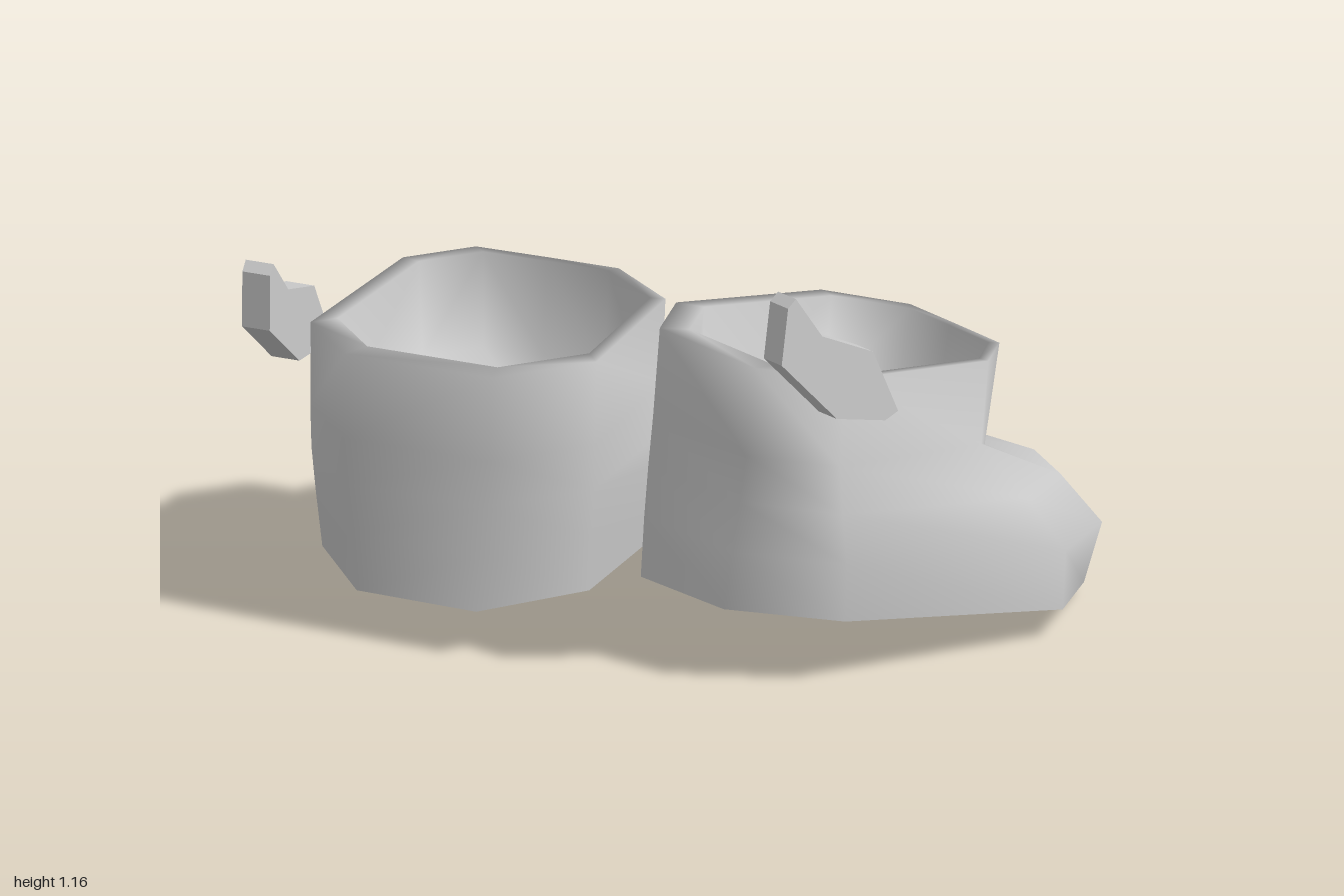
import * as THREE from 'three';

const material = new THREE.MeshStandardMaterial({ color: 0xcccccc });

// Cross-sections of one boot as [outward, toeward] points, counter-clockwise
// from the outer toe corner, with a height for each point.
const sections = [
  { // sole
    h: [0, 0, 0, 0, 0, 0, 0, 0, 0],
    p: [[0.27, 0.745], [0.047, 0.81], [-0.22, 0.775], [-0.367, 0.51], [-0.347, -0.17],
      [-0.13, -0.425], [0.22, -0.41], [0.425, -0.16], [0.492, 0.51]],
  },
  { // widest part of the toe
    h: [0.16, 0.16, 0.16, 0.16, 0.16, 0.16, 0.16, 0.16, 0.16],
    p: [[0.265, 0.79], [0.035, 0.85], [-0.225, 0.8], [-0.385, 0.515], [-0.357, -0.18],
      [-0.14, -0.425], [0.235, -0.413], [0.435, -0.18], [0.487, 0.505]],
  },
  { // top of the toe
    h: [0.29, 0.3, 0.3, 0.3, 0.3, 0.3, 0.3, 0.3, 0.3],
    p: [[0.22, 0.67], [0.02, 0.73], [-0.18, 0.68], [-0.38, 0.42], [-0.37, -0.19],
      [-0.15, -0.42], [0.248, -0.413], [0.435, -0.21], [0.435, 0.4]],
  },
  { // ankle
    h: [0.385, 0.365, 0.385, 0.43, 0.43, 0.43, 0.43, 0.43, 0.44],
    p: [[0.205, 0.42], [0.02, 0.455], [-0.16, 0.425], [-0.365, 0.28], [-0.375, -0.2],
      [-0.16, -0.412], [0.255, -0.412], [0.43, -0.23], [0.37, 0.28]],
  },
  { // rim
    h: [0.67, 0.67, 0.67, 0.67, 0.67, 0.67, 0.67, 0.67, 0.67],
    p: [[0.229, 0.418], [0.025, 0.423], [-0.179, 0.425], [-0.376, 0.277], [-0.38, -0.2],
      [-0.17, -0.41], [0.257, -0.41], [0.425, -0.24], [0.377, 0.272]],
  },
];

// Outline of the side tab as [toeward, height]
const tabOutline = [[-0.513, 0.905], [-0.49, 0.93], [-0.39, 0.82], [-0.215, 0.765],
  [-0.113, 0.595], [-0.153, 0.572], [-0.315, 0.588], [-0.516, 0.749]];

// side is +1 for the left boot and -1 for its mirror image
function bootGeometry(side) {
  const rings = sections.map(({ h, p }) => p.map(([u, v], i) => [u * side, h[i], -v]));
  const soleRing = rings[0];

  // inner lip and the bowl-shaped hollow inside follow the rim
  const rim = rings[rings.length - 1];
  const inset = (s, h) => rim.map(([x, , z]) => [x * s, h, z * s - 0.035]);
  rings.push(inset(0.88, 0.665), inset(0.84, 0.4), inset(0.5, 0.3));

  const n = rim.length;
  const points = rings.flat();
  const index = [];
  const tri = (a, b, c) => (side > 0 ? index.push(a, b, c) : index.push(a, c, b));

  // walls; the diagonals on the outer half run the other way, so the toe stays even
  for (let r = 0; r < rings.length - 1; r++) {
    for (let j = 0; j < n; j++) {
      const k = (j + 1) % n;
      const a = r * n + j, b = r * n + k;
      const c = b + n, d = a + n;
      if (j > 4) {
        tri(a, b, d);
        tri(b, c, d);
      } else {
        tri(a, b, c);
        tri(a, c, d);
      }
    }
  }

  // floor inside, and a sole with its own corners for a sharp edge
  const last = (rings.length - 1) * n;
  const floor = points.push([0, 0.28, -0.035]) - 1;
  const sole = points.push([0.03 * side, 0, -0.15]) - 1;
  const edge = points.length;
  points.push(...soleRing);
  for (let j = 0; j < n; j++) {
    const k = (j + 1) % n;
    tri(last + j, last + k, floor);
    tri(edge + k, edge + j, sole);
  }

  const geometry = new THREE.BufferGeometry();
  geometry.setAttribute('position', new THREE.Float32BufferAttribute(points.flat(), 3));
  geometry.setIndex(index);
  geometry.computeVertexNormals();
  return geometry;
}

function tabGeometry(side) {
  const shape = new THREE.Shape(tabOutline.map(([v, h]) => new THREE.Vector2(v, h)));
  const geometry = new THREE.ExtrudeGeometry(shape, { depth: 0.08, bevelEnabled: false });
  // outline x becomes toeward (-z), thickness runs along x
  geometry.rotateY(Math.PI / 2);
  geometry.translate(side > 0 ? 0.425 : -0.505, 0, 0);
  return geometry;
}

function createBoot(name, side) {
  const group = new THREE.Group();
  group.name = name;
  const body = new THREE.Mesh(bootGeometry(side), material);
  body.name = 'bootBody';
  const tab = new THREE.Mesh(tabGeometry(side), material);
  tab.name = 'sideTab';
  group.add(body, tab);
  return group;
}

export function createModel() {
  const model = new THREE.Group();
  model.name = 'boots';
  const rad = THREE.MathUtils.degToRad;

  // right boot stands flat
  const right = createBoot('rightBoot', -1);
  right.position.set(-0.43, 0.132, 0.26);
  right.rotation.y = rad(10.3);

  // left boot is turned further out and tipped onto its toe
  const left = createBoot('leftBoot', 1);
  left.position.set(0.36, 0.137, -0.006);
  left.rotation.set(rad(-9.7), rad(-20.5), 0);

  model.add(right, left);
  return model;
}
